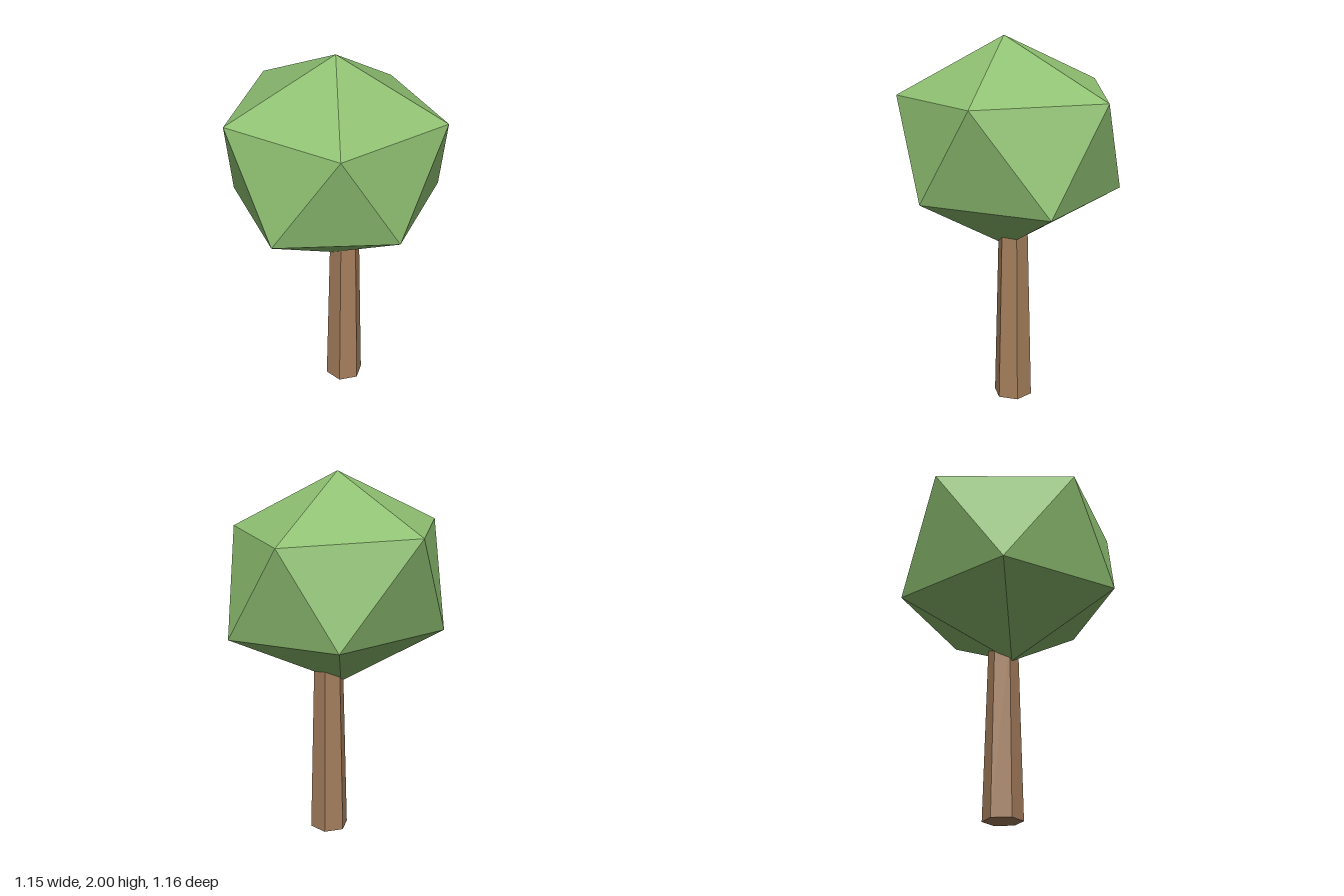
import * as THREE from 'three';

const leafGreen = new THREE.MeshStandardMaterial({ color: 0x8fc072, flatShading: true });
leafGreen.name = 'leafGreen';
const barkBrown = new THREE.MeshStandardMaterial({ color: 0xa47e5c, flatShading: true });
barkBrown.name = 'barkBrown';

// Slightly uneven icosahedron: two poles and two staggered rings of five
function crownGeometry() {
  const top = [0, 2, 0.025];
  const upper = [[0.575, 1.695, 0.025], [0.165, 1.69, 0.567], [-0.468, 1.715, 0.382],
    [-0.51, 1.73, -0.355], [0.165, 1.693, -0.567]];
  const lower = [[0.415, 1.17, 0.35], [-0.18, 1.19, 0.577], [-0.58, 1.185, 0.015],
    [-0.148, 1.197, -0.58], [0.49, 1.165, -0.362]];
  const bottom = [-0.022, 0.855, 0.015];

  const corners = [];
  for (let i = 0; i < 5; i++) {
    const j = (i + 1) % 5;
    corners.push(
      top, upper[j], upper[i],
      upper[i], upper[j], lower[i],
      upper[j], lower[j], lower[i],
      bottom, lower[i], lower[j],
    );
  }
  const geometry = new THREE.BufferGeometry();
  geometry.setAttribute('position', new THREE.Float32BufferAttribute(corners.flat(), 3));
  geometry.computeVertexNormals();
  return geometry;
}

export function createModel() {
  const tree = new THREE.Group();
  tree.name = 'tree';

  // Tapered six-sided trunk, its top hidden inside the crown
  const height = 1.0;
  const trunk = new THREE.Mesh(new THREE.CylinderGeometry(0.081, 0.107, height, 6), barkBrown);
  trunk.name = 'trunk';
  trunk.position.set(0.035, height / 2, -0.036);
  tree.add(trunk);

  // Faceted crown of leaves
  const crown = new THREE.Mesh(crownGeometry(), leafGreen);
  crown.name = 'crown';
  tree.add(crown);

  return tree;
}
